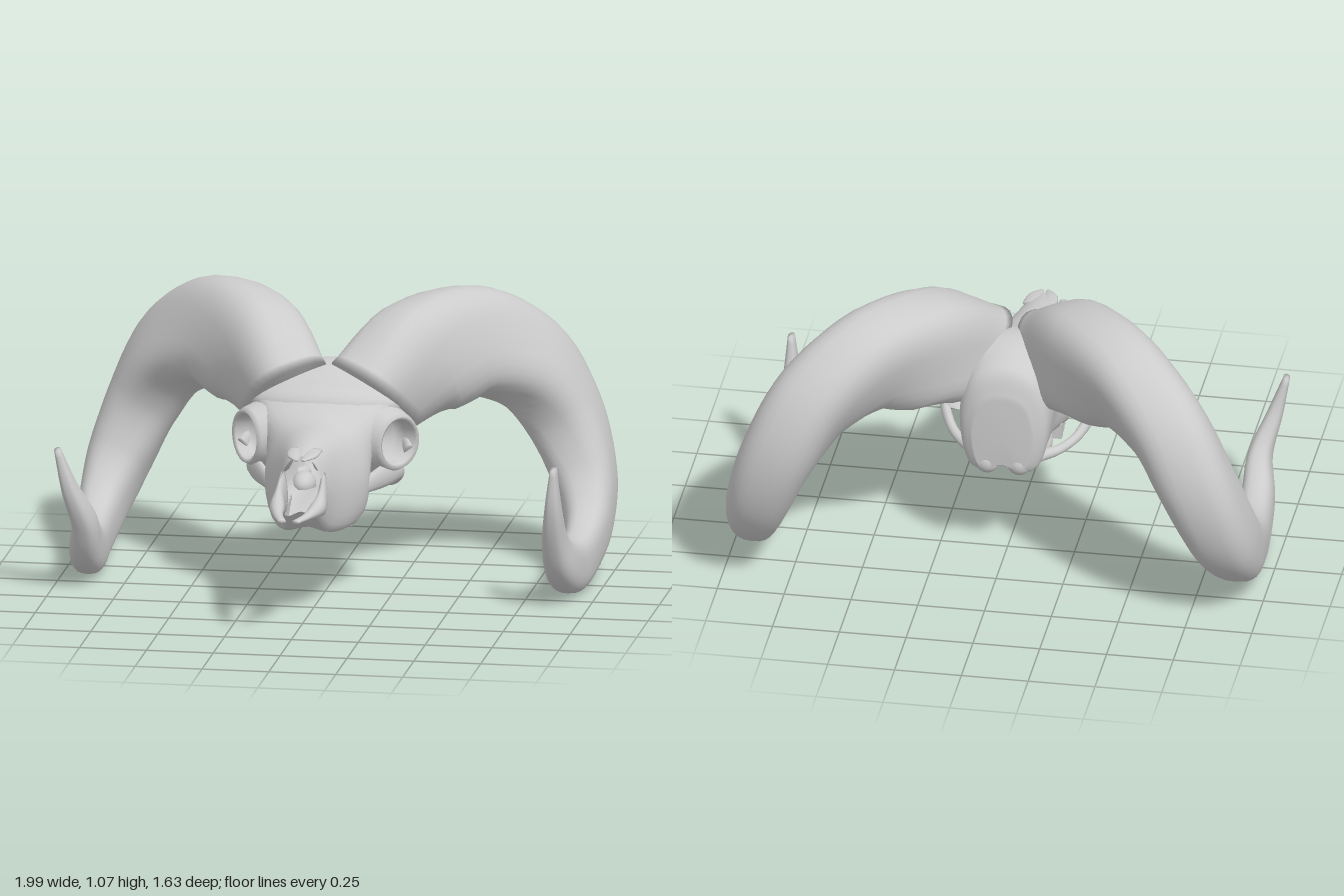
import * as THREE from 'three';

const bone = new THREE.MeshStandardMaterial({ color: 0xcccccc, side: THREE.DoubleSide });
const V = (x, y, z) => new THREE.Vector3(x, y, z);
const spline = (points, closed = false) => new THREE.CatmullRomCurve3(points, closed, 'catmullrom', 0.5);

function mesh(name, geometry) {
  const m = new THREE.Mesh(geometry, bone);
  m.name = name;
  return m;
}

// Skin a list of rings (equal numbers of points), with optional end caps
function loft(rings, capStart = true) {
  const n = rings[0].length, last = rings.length - 1;
  const points = rings.flat(), index = [];
  for (let i = 0; i < last; i++) {
    for (let j = 0; j < n; j++) {
      const a = i * n + j, b = i * n + (j + 1) % n;
      index.push(a, b, a + n, b, b + n, a + n);
    }
  }
  const cap = (row, flip) => {
    const c = points.length;
    points.push(rings[row].reduce((s, p) => s.add(p), V(0, 0, 0)).divideScalar(n));
    for (let j = 0; j < n; j++) {
      const a = row * n + j, b = row * n + (j + 1) % n;
      index.push(c, flip ? b : a, flip ? a : b);
    }
  };
  if (capStart) cap(0, true);
  cap(last, false);
  const g = new THREE.BufferGeometry().setFromPoints(points);
  g.setIndex(index);
  g.computeVertexNormals();
  return g;
}

// Superellipse swept along a smooth path; row: [x, y, z, half size along up, half size across].
// shear slants the first ring so the start is cut at an angle.
function sweep(rows, { up = () => V(0, 1, 0), power = 1, steps = 20, sides = 12, shear = 0 } = {}) {
  const path = spline(rows.map(r => V(r[0], r[1], r[2])));
  const size = spline(rows.map(r => V(r[3], r[4], 0)));
  const bend = v => Math.sign(v) * Math.pow(Math.abs(v), power);
  const rings = [];
  for (let i = 0; i <= steps; i++) {
    const k = i / steps, p = path.getPoint(k), t = path.getTangent(k), s = size.getPoint(k);
    const u = up(p);
    u.addScaledVector(t, -u.dot(t)).normalize();
    const v = V(0, 0, 0).crossVectors(t, u);
    const slant = shear * Math.max(0, 1 - k * 6);
    rings.push(Array.from({ length: sides }, (_, j) => {
      const a = (j / sides) * Math.PI * 2, c = bend(Math.cos(a));
      return p.clone().addScaledVector(u, s.x * c).addScaledVector(v, s.y * bend(Math.sin(a))).addScaledVector(t, -slant * c);
    }));
  }
  return loft(rings);
}

// Skull body, open at the nose: [z, bottom, top, top half width, middle, bottom]
function skullBody() {
  const sections = [
    [0.53, 0.40, 0.64, 0.05, 0.085, 0.06], [0.42, 0.32, 0.66, 0.075, 0.11, 0.085],
    [0.30, 0.295, 0.675, 0.10, 0.155, 0.13], [0.18, 0.30, 0.69, 0.14, 0.195, 0.155],
    [0.07, 0.33, 0.74, 0.22, 0.18, 0.15], [-0.05, 0.35, 0.82, 0.25, 0.17, 0.13],
    [-0.16, 0.34, 0.845, 0.20, 0.17, 0.12], [-0.27, 0.35, 0.82, 0.14, 0.17, 0.12],
    [-0.345, 0.36, 0.78, 0.12, 0.16, 0.12], [-0.38, 0.38, 0.68, 0.08, 0.11, 0.08],
  ];
  // One lengthwise curve per outline corner, with a slightly hollow palate
  const outline = ([z, lo, hi, a, b, c]) => {
    const h = hi - lo;
    const half = [[a, hi - h * 0.12], [b, lo + h * 0.48], [c, lo + h * 0.06]];
    return [V(0, hi, z), ...half.map(([x, y]) => V(x, y, z)), V(0, lo + 0.03, z),
      ...half.reverse().map(([x, y]) => V(-x, y, z))];
  };
  const corners = sections.map(outline);
  const rails = corners[0].map((_, j) => spline(corners.map(c => c[j])));
  const rings = [];
  for (let i = 0; i <= 45; i++) {
    const ring = spline(rails.map(r => r.getPoint(i / 45)), true);
    rings.push(Array.from({ length: 40 }, (_, j) => ring.getPoint(j / 40)));
  }
  return loft(rings, false);
}

function ellipsoid(name, x, y, z, rx, ry, rz) {
  const m = mesh(name, new THREE.SphereGeometry(1, 24, 16).scale(rx, ry, rz));
  m.position.set(x, y, z);
  return m;
}

// Curled horn: radial and lateral half sizes shrink towards the tip
function horn(side, tipX) {
  const rows = [
    [0.165, 0.725, -0.12, 0.19, 0.155],
    [0.31, 0.825, -0.29, 0.225, 0.165],
    [0.48, 0.855, -0.46, 0.205, 0.155],
    [0.66, 0.745, -0.60, 0.18, 0.15],
    [0.78, 0.55, -0.655, 0.16, 0.14],
    [0.865, 0.34, -0.605, 0.15, 0.12],
    [0.905, 0.195, -0.47, 0.125, 0.09],
    [0.91, 0.12, -0.30, 0.105, 0.07],
    [0.90, 0.10, -0.13, 0.10, 0.065],
    [0.89, 0.15, 0.03, 0.09, 0.06],
    [0.88, 0.26, 0.13, 0.065, 0.045],
    [(0.88 + tipX) / 2, 0.40, 0.195, 0.045, 0.03],
    [tipX, 0.55, 0.215, 0.025, 0.012],
  ].map(([x, ...rest]) => [x * side, ...rest]);
  const up = p => V(0, p.y - 0.42, p.z + 0.25).normalize();
  return sweep(rows, { up, power: 0.74, steps: 72, sides: 28, shear: 0.1 });
}

// Eye socket: flared outer wall, rounded rim and hollow inside
function socket(side) {
  const profile = [[0.15, -0.13], [0.125, -0.06], [0.108, -0.01], [0.098, 0.008], [0.085, 0], [0.08, -0.05], [0.065, -0.09], [0, -0.10]];
  const m = mesh('eyeSocket', new THREE.LatheGeometry(profile.map(p => new THREE.Vector2(...p)), 24));
  m.position.set(0.285 * side, 0.59, 0.06);
  m.quaternion.setFromUnitVectors(V(0, 1, 0), V(0.8 * side, 0, 0.6));
  return m;
}

export function createModel() {
  const model = new THREE.Group();
  model.name = 'hornedSkull';
  model.add(mesh('skullBody', skullBody()));
  model.add(ellipsoid('brow', 0, 0.71, -0.05, 0.285, 0.085, 0.14));

  for (const side of [1, -1]) {
    const half = new THREE.Group();
    half.name = side > 0 ? 'leftSide' : 'rightSide';
    const rod = (name, rows) => half.add(mesh(name, sweep(rows.map(([x, ...r]) => [x * side, ...r]))));

    half.add(mesh('horn', horn(side, side > 0 ? 0.89 : 0.965)));
    half.add(socket(side));

    // Pointed nasal bone over the nose opening
    rod('nasalBone', [[0.03, 0.64, 0.44, 0.012, 0.035], [0.028, 0.636, 0.51, 0.01, 0.028], [0.012, 0.632, 0.565, 0.004, 0.008]]);
    // Prong of the upper jaw
    rod('jawProng', [[0.075, 0.49, 0.47, 0.09, 0.015], [0.08, 0.475, 0.55, 0.055, 0.02],
      [0.075, 0.465, 0.62, 0.032, 0.028], [0.055, 0.46, 0.72, 0.014, 0.018], [0.025, 0.458, 0.805, 0.008, 0.015]]);
    // Cheek arch below the eye and the strut behind it
    rod('cheekArch', [[0.18, 0.45, 0.18, 0.03, 0.015], [0.24, 0.47, 0.08, 0.045, 0.02], [0.275, 0.465, -0.01, 0.03, 0.02],
      [0.24, 0.41, -0.10, 0.02, 0.018], [0.18, 0.385, -0.18, 0.018, 0.02], [0.11, 0.39, -0.25, 0.025, 0.03]]);
    rod('eyeStrut', [[0.31, 0.53, -0.02, 0.04, 0.02], [0.27, 0.59, -0.09, 0.035, 0.02], [0.18, 0.62, -0.18, 0.05, 0.03]]);

    // Upper teeth
    for (let i = 0; i < 5; i++) {
      const tooth = mesh('tooth', new THREE.BoxGeometry(0.035, 0.06, 0.036));
      tooth.position.set(side * (0.135 - i * 0.003), 0.34, 0.05 + i * 0.042);
      half.add(tooth);
    }

    // Ear capsule and joint at the neck
    half.add(ellipsoid('earCapsule', side * 0.10, 0.375, -0.12, 0.045, 0.045, 0.07));
    half.add(ellipsoid('neckJoint', side * 0.06, 0.405, -0.345, 0.045, 0.045, 0.04));
    model.add(half);
  }
  return model;
}
